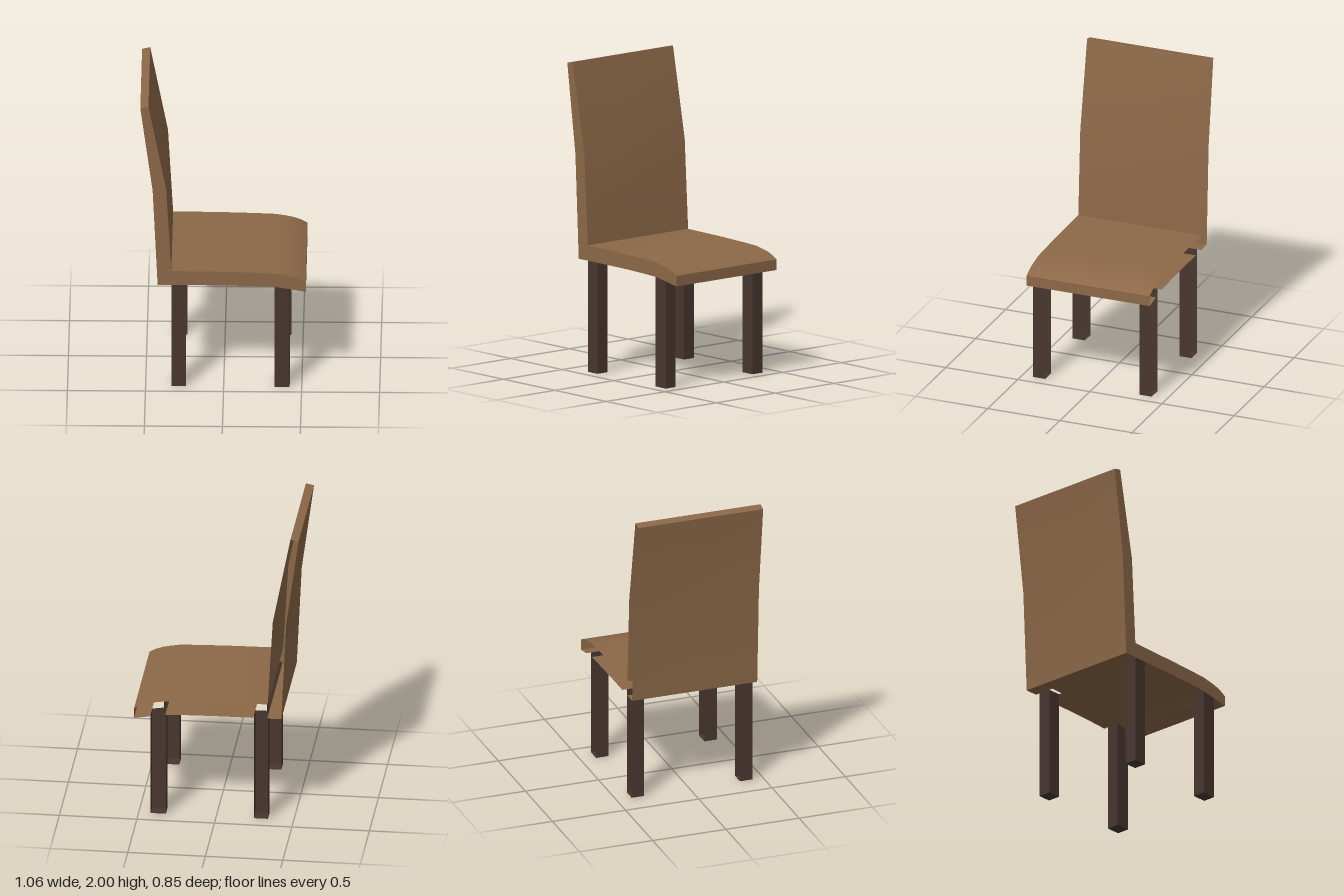
import * as THREE from 'three';
import { toCreasedNormals } from 'three/addons/utils/BufferGeometryUtils.js';

const wood = new THREE.MeshStandardMaterial({ color: 0x8c6848, side: THREE.DoubleSide });
wood.name = 'wood';
const darkWood = new THREE.MeshStandardMaterial({ color: 0x48362f, side: THREE.DoubleSide });
darkWood.name = 'darkWood';

// Sweep a counter-clockwise outline from z0 to z1, leaving the listed edges open
function sweep(outline, z0, z1, openEdges = []) {
  const pos = [];
  outline.forEach(([ax, ay], i) => {
    if (openEdges.includes(i)) return;
    const [bx, by] = outline[(i + 1) % outline.length];
    pos.push(ax, ay, z1, ax, ay, z0, bx, by, z0);
    pos.push(ax, ay, z1, bx, by, z0, bx, by, z1);
  });
  const geo = new THREE.BufferGeometry();
  geo.setAttribute('position', new THREE.Float32BufferAttribute(pos, 3));
  return toCreasedNormals(geo, 0.5);
}

// Thin hollow shell: swept walls plus a front cap, open at the rear
function shell(name, outline, z0, z1, material, openEdges) {
  const group = new THREE.Group();
  group.name = name;
  const walls = new THREE.Mesh(sweep(outline, z0, z1, openEdges), material);
  walls.name = name + 'Walls';
  const shape = new THREE.Shape(outline.map(([x, y]) => new THREE.Vector2(x, y)));
  const cap = new THREE.Mesh(new THREE.ShapeGeometry(shape), material);
  cap.name = name + 'Side';
  cap.position.z = z1;
  group.add(walls, cap);
  return group;
}

export function createModel() {
  const chair = new THREE.Group();
  chair.name = 'chair';

  // Seat and backrest in one profile; the underside is open above the legs
  const profile = [
    [-0.423, 0.725], [-0.333, 0.725], [-0.242, 0.725], [0, 0.724], [0.2, 0.72],
    [0.325, 0.715], [0.423, 0.7], [0.527, 0.681],
    [0.527, 0.75], [0.485, 0.773], [0.437, 0.79], [0.385, 0.801], [0.325, 0.811],
    [0.2, 0.816], [0, 0.821], [-0.335, 0.825],
    [-0.368, 1.41], [-0.482, 2], [-0.534, 1.988], [-0.455, 1.4],
  ];
  chair.add(shell('seatAndBackrest', profile, -0.427, 0.427, wood, [1, 5]));

  // Four hollow square legs, open at the top
  const legXs = [
    ['back', -0.333, -0.242, 0.725, 0.725],
    ['front', 0.325, 0.423, 0.7, 0.715],
  ];
  const legZs = [['Right', -0.397, -0.312], ['Left', 0.342, 0.427]];
  for (const [end, x0, x1, yRight, yLeft] of legXs) {
    for (const [side, z0, z1] of legZs) {
      const outline = [[x0, 0], [x1, 0], [x1, yRight], [x0, yLeft]];
      chair.add(shell(end + side + 'Leg', outline, z0, z1, darkWood, [2]));
    }
  }
  return chair;
}
